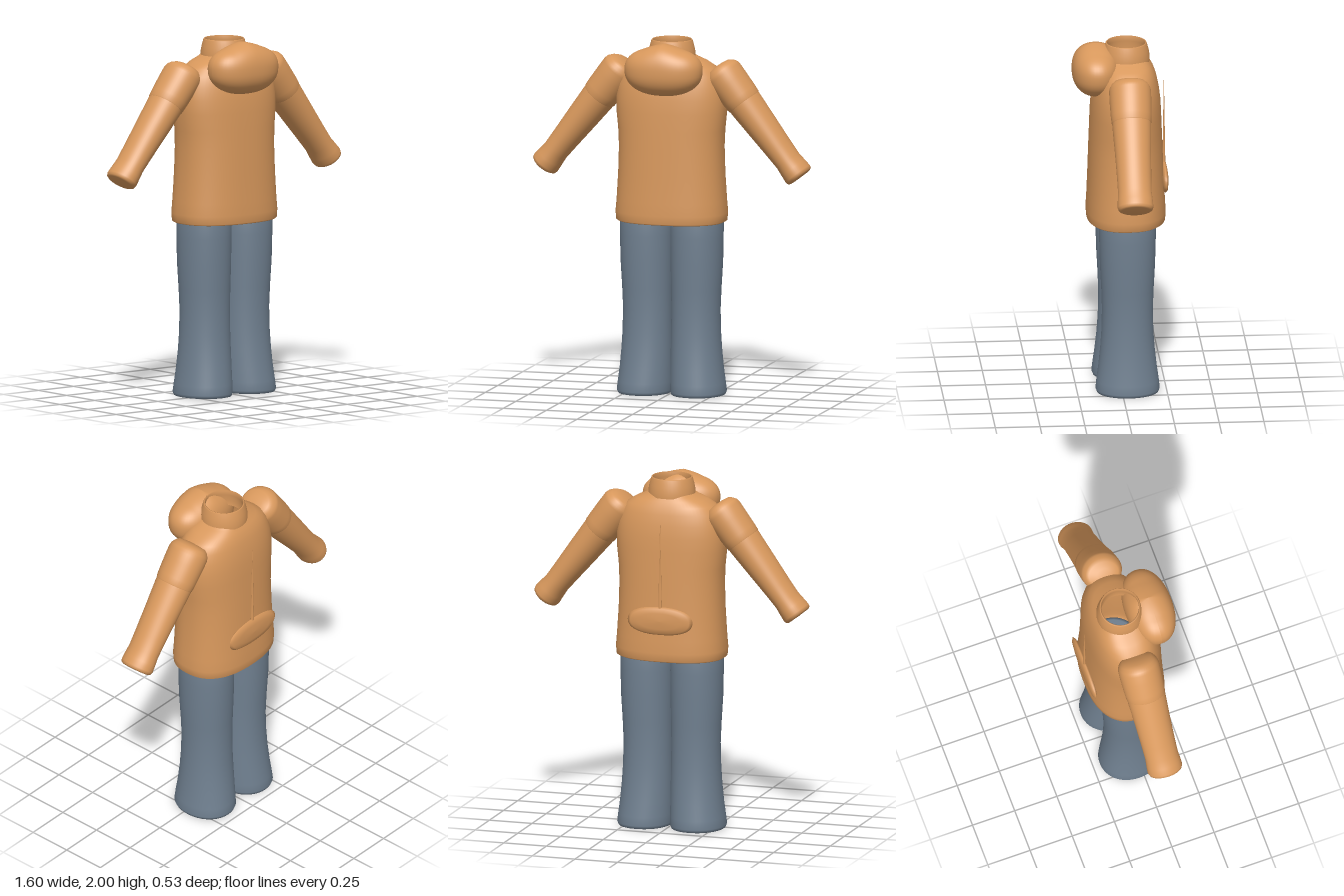
import * as THREE from 'three';

const cloth = new THREE.MeshStandardMaterial({ color: 0xd8985c, side: THREE.DoubleSide });
cloth.name = 'tan jacket cloth';
const denim = new THREE.MeshStandardMaterial({ color: 0x708090, side: THREE.DoubleSide });
denim.name = 'slate trouser cloth';

// Skin stacked superellipse rings, each [y, radiusX, radiusZ, centreX, centreZ]
function loft(rings, power = 2, seg = 48) {
  const pos = [], idx = [];
  const bend = (v) => Math.sign(v) * Math.abs(v) ** (2 / power);
  rings.forEach(([y, rx, rz, cx = 0, cz = 0], i) => {
    for (let j = 0; j < seg; j++) {
      const t = (j / seg) * Math.PI * 2;
      pos.push(cx + rx * bend(Math.cos(t)), y, cz + rz * bend(Math.sin(t)));
      if (i === rings.length - 1) continue;
      const a = i * seg + j, b = i * seg + (j + 1) % seg;
      idx.push(a, a + seg, b, b, a + seg, b + seg);
    }
  });
  const geo = new THREE.BufferGeometry();
  geo.setAttribute('position', new THREE.Float32BufferAttribute(pos, 3));
  geo.setIndex(idx);
  geo.computeVertexNormals();
  return geo;
}

function add(parent, name, geo, mat) {
  const mesh = new THREE.Mesh(geo, mat);
  mesh.name = name;
  parent.add(mesh);
  return mesh;
}

export function createModel() {
  const model = new THREE.Group();
  model.name = 'outfit';

  // Jacket body, from the turned-in hem up to the shoulders and neck
  add(model, 'jacketBody', loft([
    [0.985, 0.2, 0.13, 0, -0.03], [0.978, 0.3, 0.21, 0, -0.03],
    [0.985, 0.311, 0.219, 0, -0.032], [1.03, 0.315, 0.221, 0, -0.032],
    [1.1, 0.309, 0.217, 0, -0.032], [1.25, 0.3, 0.21, 0, -0.031],
    [1.4, 0.296, 0.205, 0, -0.031], [1.5, 0.301, 0.201, 0, -0.031],
    [1.6, 0.312, 0.197, 0, -0.031], [1.68, 0.312, 0.192, 0, -0.032],
    [1.75, 0.302, 0.182, 0, -0.033], [1.81, 0.28, 0.168, 0, -0.034],
    [1.85, 0.25, 0.153, 0, -0.035], [1.88, 0.2, 0.137, 0, -0.035],
    [1.9, 0.15, 0.122, 0, -0.035], [1.915, 0.122, 0.114, 0, -0.035],
  ], 2.4, 64), cloth);

  // Open collar, outer wall folding over into the inner wall
  add(model, 'collar', new THREE.LatheGeometry([
    [0.132, 1.895], [0.132, 1.92], [0.126, 1.955], [0.115, 1.995], [0.111, 2],
    [0.105, 1.997], [0.106, 1.97], [0.112, 1.93], [0.108, 1.9],
  ].map(([x, y]) => new THREE.Vector2(x, y)), 40), cloth).position.z = -0.035;

  // Bunched hood: a plump pillow with a peaked top and fuller upper corners
  const hoodGeo = new THREE.SphereGeometry(1, 48, 32);
  const p = hoodGeo.attributes.position;
  const swell = (v, n) => Math.sign(v) * Math.abs(v) ** n;
  for (let i = 0; i < p.count; i++) {
    const x = swell(p.getX(i), 0.88), y = swell(p.getY(i), 0.86), z = swell(p.getZ(i), 0.92);
    const peak = y > 0 ? 0.02 * y * (1 - Math.min(1, Math.abs(x) * 2)) : 0;
    p.setXYZ(i, x * (0.222 + 0.008 * y), y * 0.136 + peak, z * 0.134);
  }
  hoodGeo.computeVertexNormals();
  add(model, 'hood', hoodGeo, cloth).position.set(0, 1.842, 0.134);

  // Back pocket pouch and the slim tapering strip above it
  const pocket = add(model, 'backPocket', loft([
    [-0.019, 0, 0], [-0.017, 0.12, 0.045], [-0.011, 0.172, 0.07], [0, 0.19, 0.08],
    [0.011, 0.172, 0.07], [0.017, 0.12, 0.045], [0.019, 0, 0],
  ], 2.3), cloth);
  pocket.rotation.x = Math.PI / 2;
  pocket.position.set(0, 1.215, -0.246);
  const strip = add(model, 'backStrip', new THREE.ConeGeometry(0.012, 0.6, 16), cloth);
  strip.scale.z = 0.8;
  strip.position.set(0, 1.51, -0.246);

  for (const side of [1, -1]) {
    const label = side > 0 ? 'left' : 'right';

    // Sleeve: lower half with a flared closed cuff, upper half overlapping it
    const sleeve = new THREE.Group();
    sleeve.name = label + 'Sleeve';
    sleeve.position.set(side * 0.742, 1.255, -0.035);
    sleeve.rotation.z = side * 0.67;
    model.add(sleeve);
    add(sleeve, label + 'LowerSleeve', loft([
      [-0.004, 0, 0], [-0.002, 0.066, 0.082], [0.005, 0.077, 0.094], [0.02, 0.081, 0.1],
      [0.06, 0.077, 0.098], [0.11, 0.072, 0.094], [0.2, 0.077, 0.096],
      [0.35, 0.087, 0.101], [0.5, 0.096, 0.108], [0.55, 0.097, 0.109],
    ]), cloth);
    add(sleeve, label + 'UpperSleeve', loft([
      [0.512, 0.092, 0.104], [0.522, 0.1, 0.111], [0.56, 0.103, 0.114],
      [0.65, 0.107, 0.117], [0.71, 0.109, 0.117], [0.73, 0.104, 0.112],
      [0.75, 0.088, 0.1], [0.764, 0.068, 0.085], [0.77, 0.03, 0.04], [0.77, 0, 0],
    ]), cloth);

    // Trouser leg: narrow at the knee, flared at the closed ankle
    const rows = [
      [0.008, 0, 0, 0.155], [0.003, 0.13, 0.15, 0.155], [0.005, 0.148, 0.172, 0.155],
      [0.022, 0.155, 0.179, 0.155], [0.07, 0.152, 0.174, 0.152], [0.15, 0.147, 0.163, 0.147],
      [0.25, 0.142, 0.152, 0.143], [0.35, 0.138, 0.145, 0.141], [0.48, 0.136, 0.142, 0.14],
      [0.6, 0.139, 0.146, 0.142], [0.75, 0.145, 0.154, 0.145], [0.9, 0.147, 0.158, 0.146],
      [1.04, 0.147, 0.158, 0.147], [1.05, 0.13, 0.14, 0.147], [1.05, 0, 0, 0.147],
    ];
    add(model, label + 'TrouserLeg',
      loft(rows.map(([y, rx, rz, cx]) => [y, rx, rz, side * cx, -0.032]), 2.1), denim);
  }
  return model;
}
